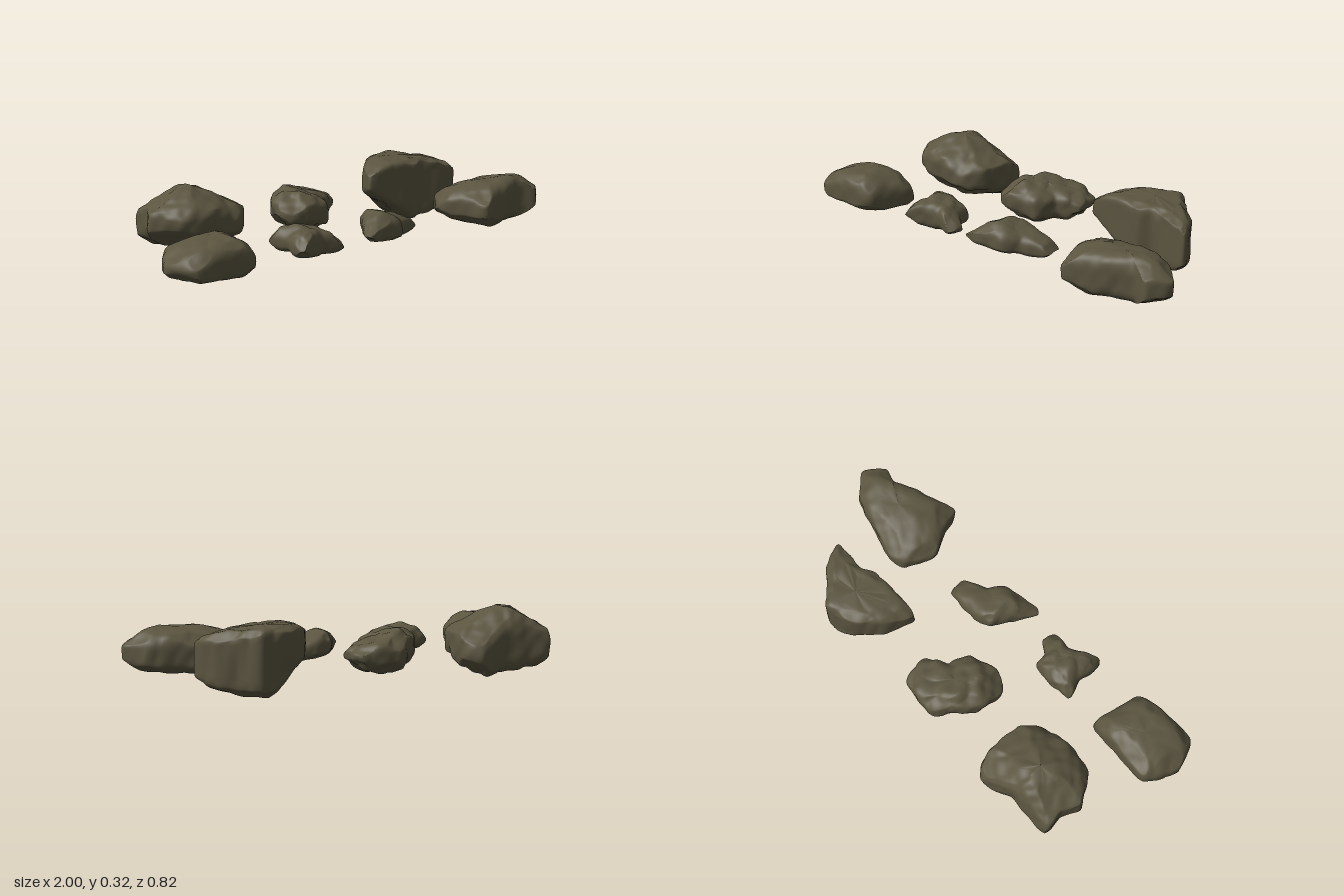
import * as THREE from 'three';

const AROUND = 120, RINGS = 44;

// Linear interpolation through evenly spaced heights, u from 0 to 1
function heightAt(heights, u) {
  const f = THREE.MathUtils.clamp(u, 0, 1) * (heights.length - 1);
  const i = Math.min(Math.floor(f), heights.length - 2);
  return THREE.MathUtils.lerp(heights[i], heights[i + 1], f - i);
}

function seeded(seed) {
  let s = seed * 7919;
  return () => (s = (s * 16807) % 2147483647) / 2147483647;
}

// Broad lumps, sharper creases and fine pitting
function relief(p, s) {
  const a = Math.sin(p.x * 21 + s + 2 * Math.sin(p.z * 17 + s)) * Math.cos(p.y * 26 + p.z * 14 + s);
  const b = Math.abs(Math.sin(p.x * 27 + 1.5 * Math.sin(p.z * 31 + s) + p.y * 12)
    + Math.sin(p.z * 24 + 1.5 * Math.sin(p.x * 29) + s));
  const c = Math.sin(p.x * 63 + s) * Math.sin(p.z * 58 + s * 3) * Math.sin(p.y * 66 + s);
  return a * 0.6 + (b - 0.8) * 0.5 + c * 0.5;
}

// corners: plan outline; top and base: heights from low x to high x;
// box: small is blocky, 1 is round; rim: height share of the widest ring;
// tilt and baseTilt: rise per unit z; dome: drop of the crown at front and back;
// chip: depth of the facets; rough: depth of the surface relief
function stoneGeometry(corners, top, base, style) {
  const { box, rim, tilt = 0, baseTilt = 0, dome = 0, chip = 0.09, rough, seed } = style;
  const plan = corners.map(([x, z]) => new THREE.Vector3(x, 0, z));
  const curve = new THREE.CatmullRomCurve3(plan, true, 'catmullrom', 0.25);
  const loop = curve.getSpacedPoints(AROUND).slice(0, AROUND);
  const bounds = new THREE.Box3().setFromPoints(loop);
  const mid = bounds.getCenter(new THREE.Vector3());
  const plot = bounds.getSize(new THREE.Vector3());
  const points = [];

  // Stacked rings, from the base pole to the crown pole
  for (let i = 0; i <= RINGS; i++) {
    const angle = (i / RINGS - 0.5) * Math.PI;
    const r = i % RINGS ? Math.pow(Math.cos(angle), box) : 0;
    const s = Math.pow(Math.abs(Math.sin(angle)), box);
    const t = angle > 0 ? rim + (1 - rim) * s : rim * (1 - s);
    for (const q of loop) {
      const p = mid.clone().lerp(q, r);
      const u = (p.x - bounds.min.x) / plot.x;
      const v = (p.z - mid.z) / plot.z * 2;
      const low = heightAt(base, u) + baseTilt * (p.z - mid.z);
      const high = heightAt(top, u) + tilt * (p.z - mid.z) - dome * v * v;
      p.y = THREE.MathUtils.lerp(low, high, t);
      points.push(p);
    }
  }

  // Chip shallow flat facets off the slanting shoulders
  const centre = new THREE.Box3().setFromPoints(points).getCenter(new THREE.Vector3());
  const random = seeded(seed);
  for (let k = 0; k < 12; k++) {
    const turn = (k + random() * 0.8) * Math.PI / 3;
    const n = new THREE.Vector3(Math.cos(turn), (k < 6 ? 1 : -1) * (0.8 + random()), Math.sin(turn)).normalize();
    const reach = p => n.dot(p) - n.dot(centre);
    const limit = Math.max(...points.map(reach)) * (1 - chip * (0.5 + random()));
    for (const p of points) {
      const over = reach(p) - limit;
      if (over > 0) p.addScaledVector(n, -over);
    }
  }

  // Weathered relief
  const size = new THREE.Box3().setFromPoints(points).getSize(new THREE.Vector3());
  for (const p of points) {
    const out = p.clone().sub(centre).divide(size).normalize();
    p.addScaledVector(out, rough * relief(p, seed));
  }

  const index = [];
  for (let i = 0; i < RINGS; i++) {
    for (let j = 0; j < AROUND; j++) {
      const a = i * AROUND + j, b = i * AROUND + (j + 1) % AROUND;
      const c = a + AROUND, d = b + AROUND;
      if (i > 0) index.push(a, c, b);
      if (i < RINGS - 1) index.push(b, c, d);
    }
  }
  const geometry = new THREE.BufferGeometry().setFromPoints(points);
  geometry.setIndex(index);
  geometry.computeVertexNormals();
  return geometry;
}

export function createModel() {
  const group = new THREE.Group();
  group.name = 'scatteredRocks';
  const material = new THREE.MeshStandardMaterial({ color: 0x5b5540 });
  material.name = 'mossy brown stone';
  const addStone = (name, corners, top, base, style) => {
    const mesh = new THREE.Mesh(stoneGeometry(corners, top, base, style), material);
    mesh.name = name;
    group.add(mesh);
  };

  // Back row
  addStone('backRightBoulder',
    [[-0.78, -0.39], [-0.57, -0.375], [-0.42, -0.41], [-0.36, -0.34], [-0.38, -0.15],
      [-0.45, -0.07], [-0.62, -0.05], [-0.73, -0.08], [-0.82, -0.21], [-0.78, -0.3]],
    [0.28, 0.315, 0.335, 0.285, 0.275], [0.1, 0.075, 0.055, 0.06],
    { box: 0.5, rim: 0.55, baseTilt: 0.25, dome: 0.07, rough: 0.008, seed: 3 });
  addStone('backMiddleStone',
    [[-0.22, -0.1], [-0.19, -0.21], [-0.04, -0.36], [0.13, -0.33], [0.15, -0.2], [0.06, -0.14],
      [0.01, -0.05], [-0.12, -0.02], [-0.19, -0.04]],
    [0.24, 0.255, 0.215, 0.2], [0.1, 0.065, 0.09],
    { box: 0.66, rim: 0.5, tilt: -0.05, rough: 0.009, seed: 8 });
  addStone('backLeftBoulder',
    [[0.3, -0.11], [0.36, -0.24], [0.46, -0.33], [0.6, -0.36], [0.68, -0.28], [0.75, -0.22],
      [0.8, -0.1], [0.62, -0.12], [0.55, -0.09]],
    [0.28, 0.31, 0.305, 0.295, 0.26], [0.18, 0.105, 0.01, 0.02, 0.06],
    { box: 0.25, rim: 0.55, chip: 0.045, rough: 0.006, seed: 5 });

  // Front row
  addStone('frontRightStone',
    [[-1, 0.22], [-0.92, 0.08], [-0.75, 0.09], [-0.59, 0.12], [-0.64, 0.33], [-0.7, 0.36], [-0.94, 0.36]],
    [0.2, 0.225, 0.24, 0.2], [0.09, 0.075, 0.06],
    { box: 0.55, rim: 0.27, rough: 0.004, chip: 0.07, seed: 11 });
  addStone('frontSmallStone',
    [[-0.44, 0.12], [-0.33, 0.12], [-0.22, 0.14], [-0.21, 0.2], [-0.15, 0.25], [-0.17, 0.31],
      [-0.26, 0.295], [-0.42, 0.355], [-0.41, 0.22]],
    [0.19, 0.205, 0.19, 0.13], [0.09, 0.075, 0.08],
    { box: 0.66, rim: 0.4, tilt: -0.05, rough: 0.008, seed: 14 });
  addStone('frontMiddleStone',
    [[-0.06, 0.31], [0.03, 0.17], [0.06, 0.125], [0.14, 0.1], [0.32, 0.13], [0.32, 0.2], [0.2, 0.25],
      [0.14, 0.31], [-0.03, 0.335]],
    [0.19, 0.205, 0.165, 0.125], [0.09, 0.075, 0.07],
    { box: 0.66, rim: 0.38, tilt: -0.05, rough: 0.006, seed: 17 });
  addStone('frontLeftBoulder',
    [[0.47, 0.18], [0.54, 0.06], [0.62, 0.04], [0.84, 0.11], [0.93, 0.15], [1, 0.24],
      [0.93, 0.33], [0.85, 0.305], [0.57, 0.405], [0.53, 0.33]],
    [0.23, 0.255, 0.26, 0.235], [0.09, 0.06, 0.06, 0.08],
    { box: 0.5, rim: 0.45, tilt: 0.1, dome: 0.03, rough: 0.005, seed: 21 });

  // Rest the lowest stone on the ground
  const lowest = new THREE.Box3().setFromObject(group).min.y;
  for (const mesh of group.children) mesh.position.y = -lowest;
  return group;
}
